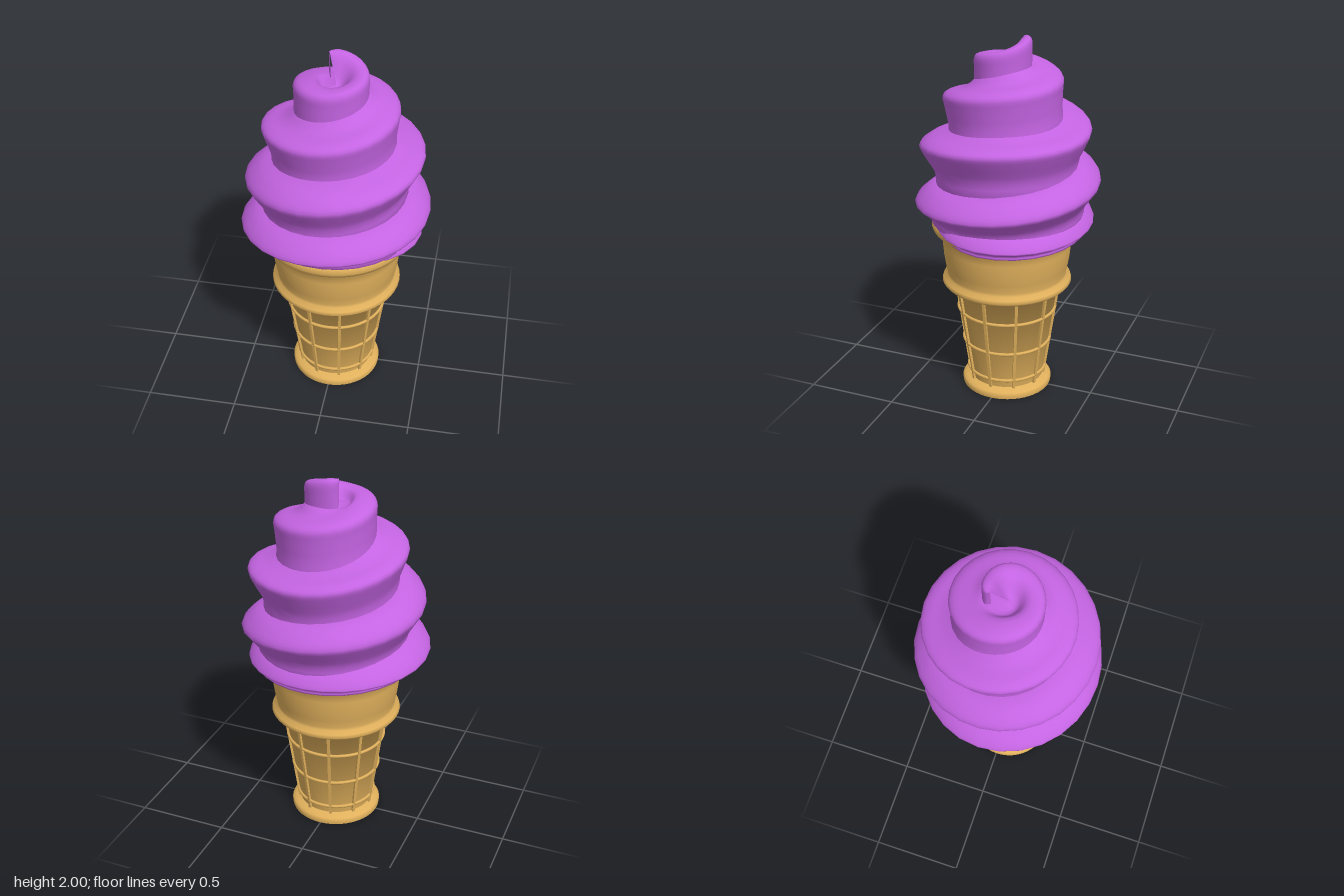
import * as THREE from 'three';
import { toCreasedNormals } from 'three/addons/utils/BufferGeometryUtils.js';

const V = (x, y) => new THREE.Vector2(x, y);
const { lerp, smoothstep } = THREE.MathUtils;

const waferMaterial = new THREE.MeshStandardMaterial({ color: 0xe0b05c });
const creamMaterial = new THREE.MeshStandardMaterial({ color: 0xc464e2 });

// Wafer wall radius at a height on the gridded lower part
const wallRadius = (y) => lerp(0.205, 0.283, (y - 0.05) / 0.55);

function createWaferCone() {
  const group = new THREE.Group();
  group.name = 'waferCone';

  // Turned body: foot, tapered wall, collar, cup and rolled lip
  const profile = [
    [0, 0], [0.25, 0], [0.253, 0.025], [0.246, 0.036], [0.23, 0.042], [wallRadius(0.05), 0.052],
    [wallRadius(0.6), 0.6], [0.3, 0.606], [0.313, 0.62], [0.345, 0.63], [0.358, 0.645], [0.352, 0.662],
    [0.33, 0.678], [0.328, 0.695], [0.338, 0.74], [0.347, 0.8], [0.352, 0.86], [0.353, 0.92],
    [0.37, 0.935], [0.4, 0.952], [0.41, 0.975], [0.402, 1.005], [0.385, 1.015], [0, 1.02],
  ].map(([r, y]) => V(r, y));
  const body = new THREE.Mesh(toCreasedNormals(new THREE.LatheGeometry(profile, 48), 1.1), waferMaterial);
  body.name = 'coneBody';
  group.add(body);

  // Upright ribs leaning with the wall
  const y0 = 0.04, y1 = 0.605;
  const r0 = wallRadius(y0), r1 = wallRadius(y1);
  const ribGeometry = new THREE.BoxGeometry(0.016, Math.hypot(y1 - y0, r1 - r0), 0.024);
  ribGeometry.rotateX(Math.atan2(r1 - r0, y1 - y0));
  ribGeometry.translate(0, (y0 + y1) / 2, (r0 + r1) / 2);
  for (let i = 0; i < 10; i++) {
    const rib = new THREE.Mesh(ribGeometry, waferMaterial);
    rib.name = 'uprightRib';
    rib.rotation.y = 0.24 + (i / 10) * Math.PI * 2;
    group.add(rib);
  }

  // Level rings crossing the ribs
  for (const y of [0.1, 0.28, 0.475]) {
    const ring = new THREE.Mesh(new THREE.TorusGeometry(wallRadius(y) + 0.005, 0.009, 8, 48), waferMaterial);
    ring.name = 'levelRing';
    ring.rotation.x = Math.PI / 2;
    ring.position.y = y;
    group.add(ring);
  }
  group.position.set(0.005, 0, 0.005);
  return group;
}

// Outer ridge of the swirl (radius, height), one point per quarter turn
const FIRST = -1;
const ridge = new THREE.SplineCurve([
  [0.34, 1.02], [0.47, 0.99], [0.457, 0.995], [0.508, 1.04], [0.5, 1.1], [0.51, 1.15], [0.5, 1.23],
  [0.48, 1.31], [0.472, 1.4], [0.468, 1.485], [0.45, 1.515], [0.388, 1.61], [0.347, 1.67],
  [0.33, 1.74], [0.298, 1.785], [0.217, 1.85], [0.18, 1.875], [0.17, 1.92], [0.13, 1.975],
].map(([r, y]) => V(r, y)));
const LAST = FIRST + ridge.points.length - 1;

// Cross-section of the swirl at quarter turn q, from inside below to inside above
function swirlSection(q, count) {
  const { x: R, y: Y } = ridge.getPoint((q - FIRST) / (LAST - FIRST));
  const drop = lerp(0.055, 0.26, smoothstep(q, 1.5, 6.5));
  const tuck = lerp(0.05, 0.1, smoothstep(q, 1, 3)) * (1 - smoothstep(q, 7, 14));
  const flat = smoothstep(q, 6.5, 8);
  const tip = smoothstep(q, 12.5, 16);
  const core = Math.min(Y + 0.11, 1.86);
  const low = R - tuck;
  return new THREE.SplineCurve([
    V(low * 0.6, Y - drop),
    V(low, Y - drop),
    V(low + tuck * 0.2, Y - drop * 0.6),
    V(R - tuck * 0.25, Y - drop * 0.22),
    V(R, Y),
    V(lerp(R - 0.04, R * 0.88, tip), Y + lerp(lerp(0.055, 0.03, flat), 0.025, tip)),
    V(lerp(R - 0.12, R * 0.55, tip), Y + lerp(lerp(0.1, 0.05, flat), 0.015, tip)),
    V(R * lerp(0.4, 0.2, tip), lerp(core, Y - 0.05, tip * 0.5)),
    V(0, core),
  ]).getPoints(count);
}

function createSwirl() {
  const COLS = 24, ROWS = (LAST - FIRST) * 7;
  const positions = [], indices = [];
  // A row can shrink towards the middle of its section and turn a little further
  const addRow = (q, shrink = 1, extraTurn = 0) => {
    const section = swirlSection(q, COLS);
    const centre = section[Math.round(COLS * 0.62)].clone();
    centre.x *= 0.75;
    const angle = ((q + extraTurn) * Math.PI) / 2;
    for (const p of section) {
      p.lerpVectors(centre, p, shrink);
      positions.push(p.x * Math.cos(angle), p.y, -p.x * Math.sin(angle));
    }
  };

  // Closed start, spiral climb, rounded tip
  addRow(FIRST, 0);
  for (let i = 0; i <= ROWS; i++) addRow(lerp(FIRST, LAST, i / ROWS));
  addRow(LAST, 0.9, 0.12);
  addRow(LAST, 0.7, 0.24);
  addRow(LAST, 0.4, 0.32);
  addRow(LAST, 0, 0.34);

  const stride = COLS + 1;
  const rowCount = positions.length / 3 / stride;
  for (let i = 0; i < rowCount - 1; i++) {
    for (let j = 0; j < COLS; j++) {
      const a = i * stride + j, b = a + stride;
      indices.push(a, b, a + 1, b, b + 1, a + 1);
    }
  }
  const geometry = new THREE.BufferGeometry();
  geometry.setAttribute('position', new THREE.Float32BufferAttribute(positions, 3));
  geometry.setIndex(indices);
  geometry.computeVertexNormals();
  const swirl = new THREE.Mesh(geometry, creamMaterial);
  swirl.name = 'creamSwirl';
  return swirl;
}

export function createModel() {
  const model = new THREE.Group();
  model.name = 'iceCreamCone';
  model.add(createWaferCone(), createSwirl());
  return model;
}
